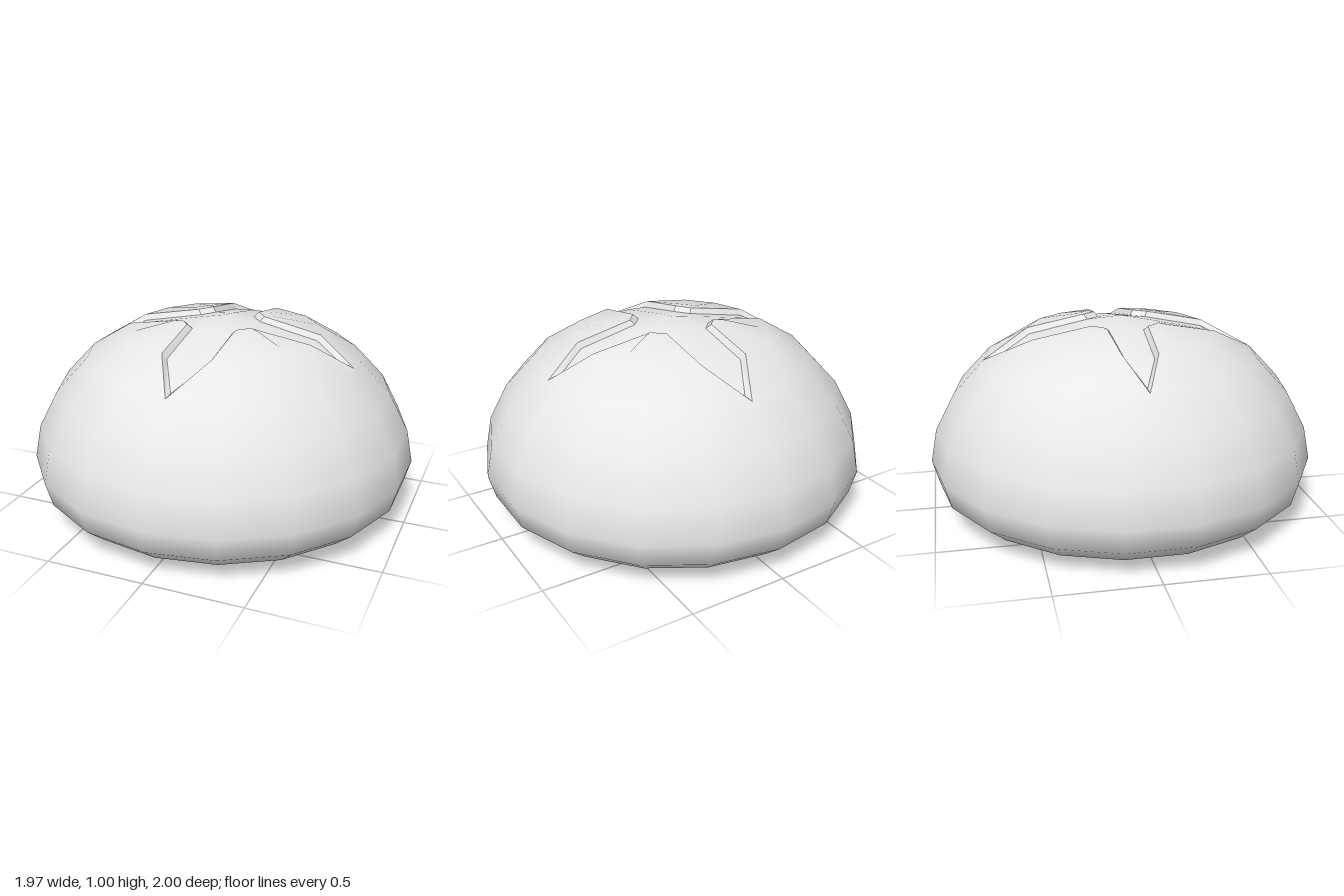
import * as THREE from 'three';
import { mergeVertices } from 'three/addons/utils/BufferGeometryUtils.js';

const SIDES = 18;
const V = (x, y, z) => new THREE.Vector3(x, y, z);

// Point on a ring, the angle measured in degrees from +z towards +x
const polar = (r, y, deg) => {
  const a = THREE.MathUtils.degToRad(deg);
  return V(r * Math.sin(a), y, r * Math.cos(a));
};

// Collects triangles, turning each to face the way given by outward(centroid)
function surface(outward) {
  const data = [];
  const tri = (a, b, c) => {
    const n = b.clone().sub(a).cross(c.clone().sub(a));
    const mid = a.clone().add(b).add(c).divideScalar(3);
    const order = n.dot(outward(mid)) >= 0 ? [a, b, c] : [a, c, b];
    order.forEach((p) => data.push(p.x, p.y, p.z));
  };
  const quad = (a, b, c, d) => { tri(a, b, c); tri(a, c, d); };
  const build = (smooth) => {
    let g = new THREE.BufferGeometry();
    g.setAttribute('position', new THREE.Float32BufferAttribute(data, 3));
    if (smooth) g = mergeVertices(g, 1e-4);
    g.computeVertexNormals();
    return g;
  };
  return { tri, quad, build };
}

export function createModel() {
  const group = new THREE.Group();
  const crust = new THREE.MeshStandardMaterial({ color: 0xe7e7e7 });
  crust.name = 'pale crust';

  const dome = surface((p) => p.clone().sub(V(0, 0.4, 0)));
  const walls = surface(() => V(0, 1, 0));
  const floor = surface(() => V(0, 1, 0));

  // Lower and middle body: rings [radius, height] from the score tips to the base
  const rings = [
    [0.707, 0.8], [0.866, 0.63], [0.966, 0.44], [1, 0.27], [0.966, 0.145],
    [0.866, 0.06], [0.707, 0.02], [0.5, 0.01], [0.259, 0.003],
  ];
  const step = 360 / SIDES;
  for (let s = 0; s < SIDES; s++) {
    const a = s * step, b = a + step;
    for (let i = 0; i + 1 < rings.length; i++) {
      const [r0, y0] = rings[i], [r1, y1] = rings[i + 1];
      dome.quad(polar(r0, y0, a), polar(r0, y0, b), polar(r1, y1, b), polar(r1, y1, a));
    }
    const [r, y] = rings[rings.length - 1];
    dome.tri(polar(r, y, a), polar(r, y, b), V(0, 0, 0));
  }

  // Top: one quarter between two arms of the score, mirrored four times
  for (const sx of [1, -1]) for (const sz of [1, -1]) {
    const m = (p) => V(p.x * sx, p.y, p.z * sz);
    const tip = 0.707 * Math.cos(Math.PI / SIDES);

    // Lip of the score, and the same line inset and sunk
    const lip = [
      V(0, 0.8, 0.707), V(0.128, 0.925, 0.47), V(0.13, 0.983, 0.17),
      V(0.185, 0.981, 0.105), V(0.492, 0.925, 0.087), V(tip, 0.8, 0),
    ].map(m);
    const sunk = [
      V(0, 0.805, 0.65), V(0.106, 0.897, 0.46), V(0.108, 0.96, 0.155),
      V(0.165, 0.958, 0.087), V(0.48, 0.897, 0.07), V(0.64, 0.805, 0),
    ].map(m);

    // Raised crust between the arms
    const outer = [20, 40, 60, 80].map((d) => m(polar(0.707, 0.8, d)));
    const mid = [lip[1], m(polar(0.5, 0.925, 40)), m(polar(0.5, 0.925, 60)), lip[4]];
    const inner = [lip[2], m(polar(0.259, 0.98, 40)), m(polar(0.259, 0.98, 60)), lip[3]];
    dome.tri(lip[0], outer[0], mid[0]);
    dome.tri(lip[5], outer[3], mid[3]);
    for (let i = 0; i < 3; i++) {
      dome.quad(outer[i], outer[i + 1], mid[i + 1], mid[i]);
      dome.quad(mid[i], mid[i + 1], inner[i + 1], inner[i]);
    }
    dome.quad(...inner);

    // Sloping walls of the score
    for (let i = 0; i < 5; i++) walls.quad(lip[i], lip[i + 1], sunk[i + 1], sunk[i]);

    // Sunken floor
    const centre = V(0, 1, 0);
    const [zTip, zEnd, zRoot, xRoot, xEnd, xTip] = sunk;
    for (const [t, e, r, axis] of [[zTip, zEnd, zRoot, 'x'], [xTip, xEnd, xRoot, 'z']]) {
      const eMid = e.clone(), rMid = r.clone();
      eMid[axis] = 0;
      rMid[axis] = 0;
      eMid.y += 0.005;
      rMid.y += 0.01;
      floor.tri(t, e, eMid);
      floor.quad(eMid, e, r, rMid);
      floor.tri(rMid, r, centre);
    }
    floor.tri(zRoot, xRoot, centre);
  }

  for (const [name, part, smooth] of [
    ['bun', dome, true], ['scoreWalls', walls, false], ['scoreFloor', floor, true],
  ]) {
    const mesh = new THREE.Mesh(part.build(smooth), crust);
    mesh.name = name;
    group.add(mesh);
  }
  return group;
}
